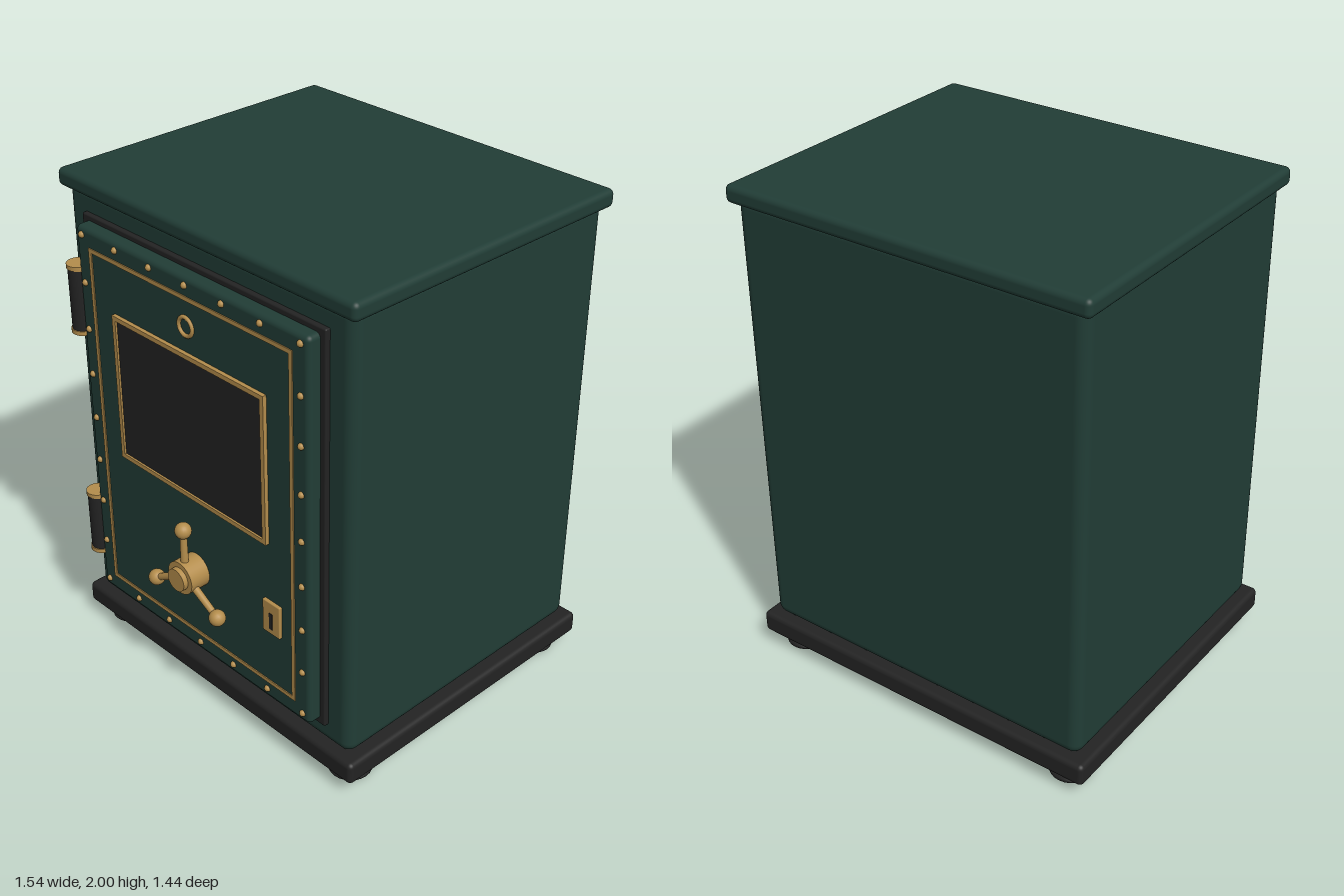
import * as THREE from 'three';
import { RoundedBoxGeometry } from 'three/addons/geometries/RoundedBoxGeometry.js';

export function createModel() {
  const model = new THREE.Group();
  model.name = 'safe';

  const mat = (name, color) => {
    const m = new THREE.MeshStandardMaterial({ color });
    m.name = name;
    return m;
  };
  const green = mat('dark green paint', 0x213d36);
  const black = mat('black iron', 0x232323);
  const brass = mat('brass', 0xb48d4c);

  const add = (name, geo, material, x = 0, y = 0, z = 0, parent = model) => {
    const m = new THREE.Mesh(geo, material);
    m.name = name;
    m.position.set(x, y, z);
    parent.add(m);
    return m;
  };
  // Rounded box given by its extents
  const block = (name, material, x0, x1, y0, y1, z0, z1, r) =>
    add(name, new RoundedBoxGeometry(x1 - x0, y1 - y0, z1 - z0, 4, r), material,
      (x0 + x1) / 2, (y0 + y1) / 2, (z0 + z1) / 2);
  // Rectangular trim with an open middle
  const trim = (name, hw, y0, y1, w, z0, depth) => {
    const rect = (C, a, b, c) => new C([[-a, b], [a, b], [a, c], [-a, c]].map(p => new THREE.Vector2(...p)));
    const s = rect(THREE.Shape, hw, y0, y1);
    s.holes.push(rect(THREE.Path, hw - w, y0 + w, y1 - w));
    return add(name, new THREE.ExtrudeGeometry(s, { depth, bevelEnabled: false }), brass, 0, 0, z0);
  };

  // Cabinet
  block('plinth', black, -0.768, 0.768, 0.063, 0.155, -0.718, 0.575, 0.02);
  block('body', green, -0.728, 0.728, 0.155, 1.96, -0.687, 0.543, 0.045);
  block('lid', green, -0.753, 0.753, 1.93, 2.0, -0.712, 0.567, 0.022);

  // Feet flare outwards to the floor
  const foot = new THREE.LatheGeometry(
    [[0, 0], [0.07, 0], [0.083, 0.008], [0.083, 0.02], [0.055, 0.055], [0.055, 0.068], [0, 0.068]]
      .map(p => new THREE.Vector2(...p)), 24);
  for (const x of [-0.647, 0.647])
    for (const z of [-0.6, 0.452]) add('foot', foot, black, x, 0, z);

  // Door and surround
  const face = 0.613;
  block('doorFrame', black, -0.622, 0.622, 0.247, 1.865, 0.51, 0.562, 0.006);
  block('door', green, -0.598, 0.598, 0.267, 1.845, 0.53, face, 0.02);
  trim('doorStripe', 0.525, 0.34, 1.775, 0.016, face - 0.004, 0.008);

  // Window
  add('windowPane', new THREE.BoxGeometry(0.77, 0.57, 0.012), black, 0, 1.263, face + 0.002);
  trim('windowFrame', 0.398, 0.967, 1.56, 0.018, face - 0.004, 0.02);

  // Ring above the window
  add('ring', new THREE.TorusGeometry(0.035, 0.008, 10, 32), brass, 0, 1.66, face + 0.002);

  // Rivets around the door edge
  const rivet = new THREE.SphereGeometry(0.013, 12, 8);
  for (let r = 0; r < 9; r++)
    for (let c = 0; c < 7; c++)
      if (r % 8 === 0 || c % 6 === 0)
        add('rivet', rivet, brass, -0.562 + c * 0.1873, 0.306 + r * 0.1885, face);

  // Hinges on the right-hand side of the model
  for (const y of [0.558, 1.54]) {
    const hinge = new THREE.Group();
    hinge.name = 'hinge';
    hinge.position.set(-0.623, y, 0.596);
    add('hingeBarrel', new THREE.CylinderGeometry(0.041, 0.041, 0.26, 24), black, 0, 0, 0, hinge);
    for (const s of [-1, 1])
      add('hingeCap', new THREE.CylinderGeometry(0.045, 0.045, 0.017, 24), brass, 0, s * 0.13, 0, hinge);
    model.add(hinge);
  }

  // Three-spoked handle
  const handle = new THREE.Group();
  handle.name = 'handle';
  handle.position.set(0, 0.65, 0);
  const disc = (name, r, z0, z1) => {
    add(name, new THREE.CylinderGeometry(r, r, z1 - z0, 32), brass, 0, 0, (z0 + z1) / 2, handle)
      .rotation.x = Math.PI / 2;
  };
  disc('handleHub', 0.067, face - 0.01, 0.698);
  disc('handleCap', 0.046, 0.69, 0.718);
  for (let i = 0; i < 3; i++) {
    const spoke = new THREE.Group();
    spoke.name = 'handleSpoke';
    spoke.rotation.z = i * Math.PI * 2 / 3;
    add('spokeRod', new THREE.CylinderGeometry(0.013, 0.016, 0.19, 16), brass, 0, 0.1, 0.672, spoke);
    add('spokeBall', new THREE.SphereGeometry(0.032, 20, 14), brass, 0, 0.2, 0.672, spoke);
    handle.add(spoke);
  }
  model.add(handle);

  // Keyhole plate
  block('keyPlate', brass, 0.37, 0.458, 0.587, 0.725, face - 0.005, face + 0.013, 0.004);
  add('keySlot', new THREE.BoxGeometry(0.017, 0.07, 0.006), black, 0.414, 0.645, face + 0.012);

  return model;
}
